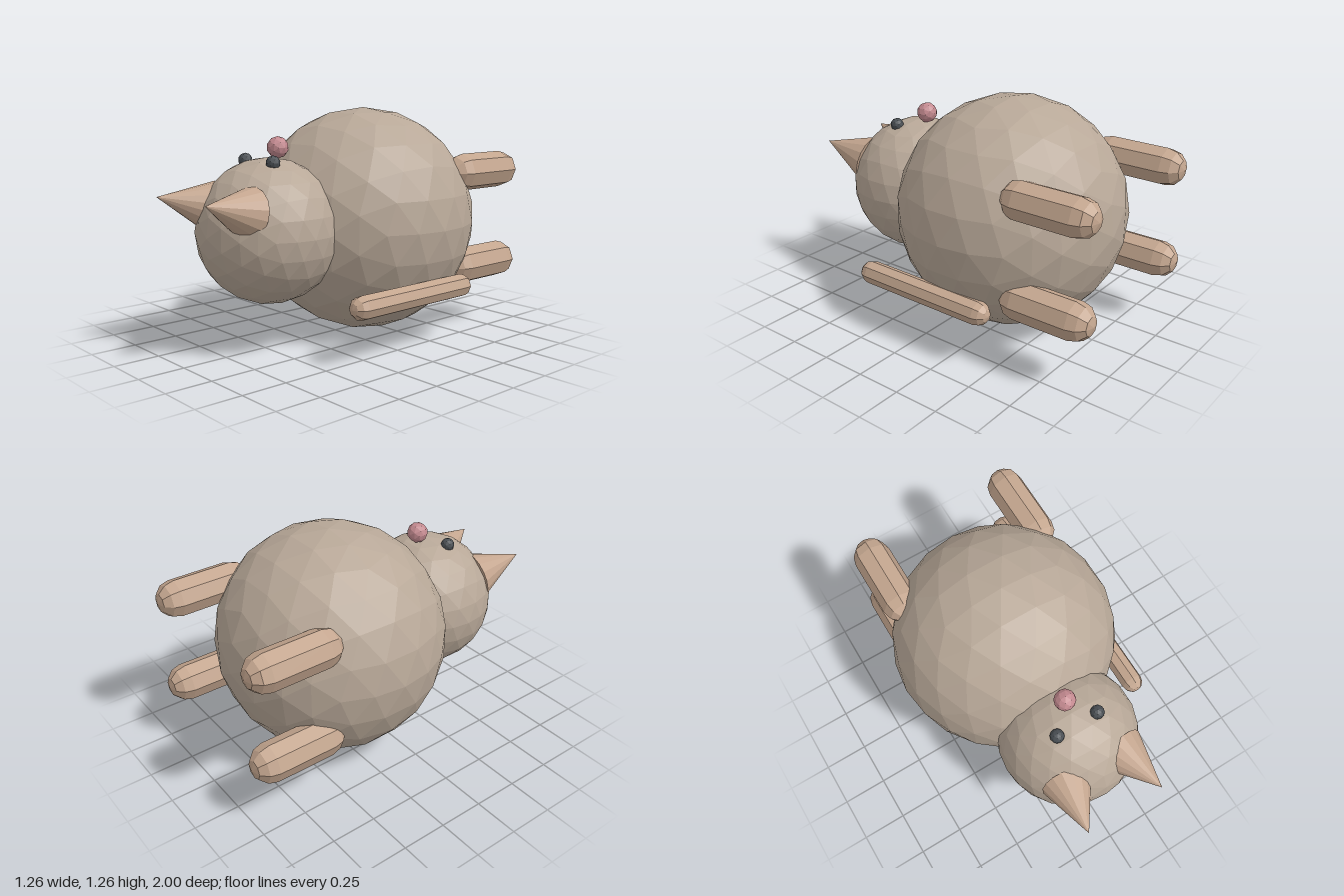
import * as THREE from 'three';

const material = (color) => {
  const m = new THREE.MeshStandardMaterial({ flatShading: true });
  m.color.set(color);
  return m;
};

// Faceted ball: an icosahedron whose edges are halved `levels` times
function ballGeometry(radius, levels) {
  let geometry = new THREE.IcosahedronGeometry(radius, 0);
  for (let i = 0; i < levels; i++) {
    const corners = Array.from(geometry.attributes.position.array);
    const order = Array.from({ length: corners.length / 3 }, (_, k) => k);
    geometry = new THREE.PolyhedronGeometry(corners, order, radius, 1);
  }
  return geometry;
}

// Eight-sided capsule lying along z between two end points
function capsuleGeometry(radius, zBack, zFront) {
  const geometry = new THREE.CapsuleGeometry(radius, zFront - zBack - 2 * radius, 3, 8);
  geometry.rotateX(Math.PI / 2);
  return geometry.translate(0, 0, (zBack + zFront) / 2);
}

export function createModel() {
  const model = new THREE.Group();
  const fur = material(0xb8a898);
  const limbFur = material(0xc4a68f);
  const dark = material(0x4a4f54);
  const pink = material(0xc48a90);

  const add = (name, geometry, mat, x, y, z) => {
    const mesh = new THREE.Mesh(geometry, mat);
    mesh.name = name;
    mesh.position.set(x, y, z);
    model.add(mesh);
    return mesh;
  };

  // Body and head
  add('body', ballGeometry(0.632, 2), fur, 0, 0.633, -0.21);
  add('head', ballGeometry(0.386, 2), fur, 0, 0.633, 0.465);

  // Nose
  add('nose', ballGeometry(0.058, 1), pink, 0, 1.067, 0.4);

  const up = new THREE.Vector3(0, 1, 0);
  for (const [side, s] of [['left', 1], ['right', -1]]) {
    // Eyes
    add(side + 'Eye', ballGeometry(0.038, 1), dark, s * 0.12, 1.0, 0.523);

    // Ears: cones leaning outwards, placed by their tips
    const axis = new THREE.Vector3(s * 0.062, 0.077, 0.32).normalize();
    const cone = new THREE.ConeGeometry(0.137, 0.3, 16).translate(0, -0.15, 0);
    const ear = add(side + 'Ear', cone, limbFur, s * 0.222, 0.834, 0.997);
    ear.quaternion.setFromUnitVectors(up, axis);

    // Legs
    add(side + 'UpperLeg', capsuleGeometry(0.104, -1, -0.463), limbFur, s * 0.43, 0.903, 0);
    add(side + 'LowerLeg', capsuleGeometry(0.104, -1, -0.463), limbFur, s * 0.43, 0.368, 0);
  }

  // Tail
  add('tail', capsuleGeometry(0.064, -0.477, 0.387), limbFur, 0.565, 0.3, 0);

  return model;
}
